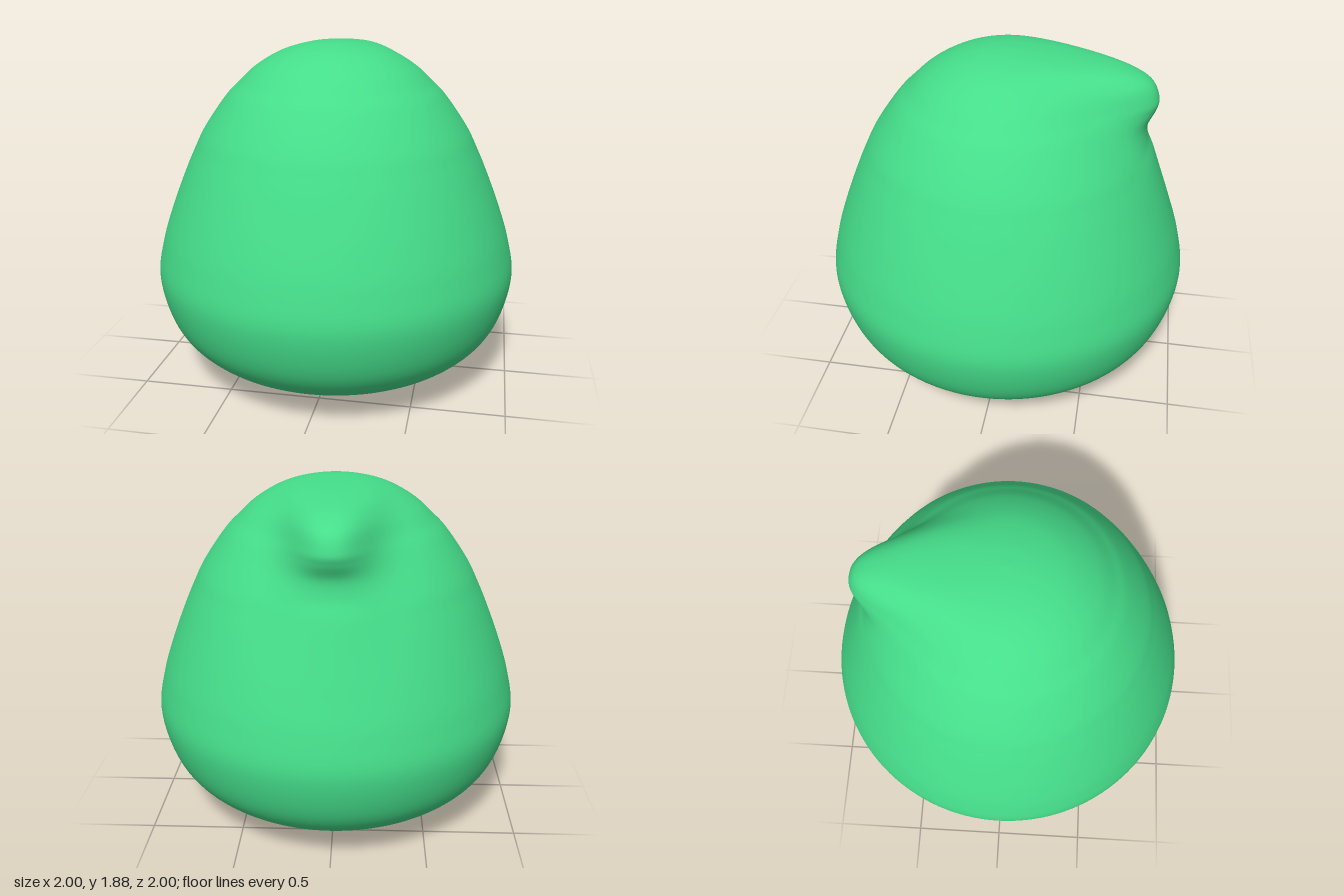
import * as THREE from 'three';
import { mergeVertices } from 'three/addons/utils/BufferGeometryUtils.js';

// Body profile from bottom to top: radius, height
const LOWER = [[0, 0], [0.3, 0.025], [0.6, 0.1], [0.8, 0.2], [0.935, 0.36], [1, 0.6], [0.97, 0.8], [0.905, 1]];
const ROUND = [[0.825, 1.2], [0.77, 1.32], [0.73, 1.4], [0.665, 1.5], [0.59, 1.6], [0.53, 1.66],
  [0.45, 1.735], [0.35, 1.8], [0.25, 1.843], [0.12, 1.872], [0, 1.88]];
// The same stretch along the back centre line, drawn out into the stubby knob
const KNOB = [[0.835, 1.2], [0.785, 1.34], [0.747, 1.43], [0.738, 1.52], [0.772, 1.6], [0.782, 1.66],
  [0.735, 1.75], [0.6, 1.812], [0.4, 1.847], [0.18, 1.87], [0, 1.88]];

const ROWS = 120, SEGMENTS = 200;

function sampleProfile(upper) {
  const curve = new THREE.SplineCurve([...LOWER, ...upper].map(([r, y]) => new THREE.Vector2(r, y)));
  const points = curve.getPoints(ROWS);
  points[0].x = points[ROWS].x = 0;
  return points;
}

export function createModel() {
  const round = sampleProfile(ROUND);
  const knob = sampleProfile(KNOB);
  let geometry = new THREE.LatheGeometry(round, SEGMENTS);
  const pos = geometry.attributes.position;

  // Pull the upper back out towards the knob profile, fading sideways
  for (let i = 0; i < pos.count; i++) {
    const row = i % (ROWS + 1);
    const x = pos.getX(i), z = pos.getZ(i);
    if (z >= 0) continue;
    const facing = THREE.MathUtils.smoothstep(-z / Math.max(round[row].x, 1e-6), 0, 0.8);
    const weight = facing * Math.exp(-Math.pow(Math.abs(x) / 0.22, 2.5));
    pos.setY(i, pos.getY(i) + weight * (knob[row].y - round[row].y));
    pos.setZ(i, z - weight * (knob[row].x - round[row].x));
  }

  // Weld the seam and poles so the shading is smooth all round
  geometry.deleteAttribute('uv');
  geometry.deleteAttribute('normal');
  geometry = mergeVertices(geometry, 1e-5);
  geometry.computeVertexNormals();

  const body = new THREE.Mesh(geometry, new THREE.MeshStandardMaterial({ color: 0x45dd8a }));
  body.name = 'bodyWithKnob';
  const group = new THREE.Group();
  group.name = 'roundedBlob';
  group.add(body);
  return group;
}
